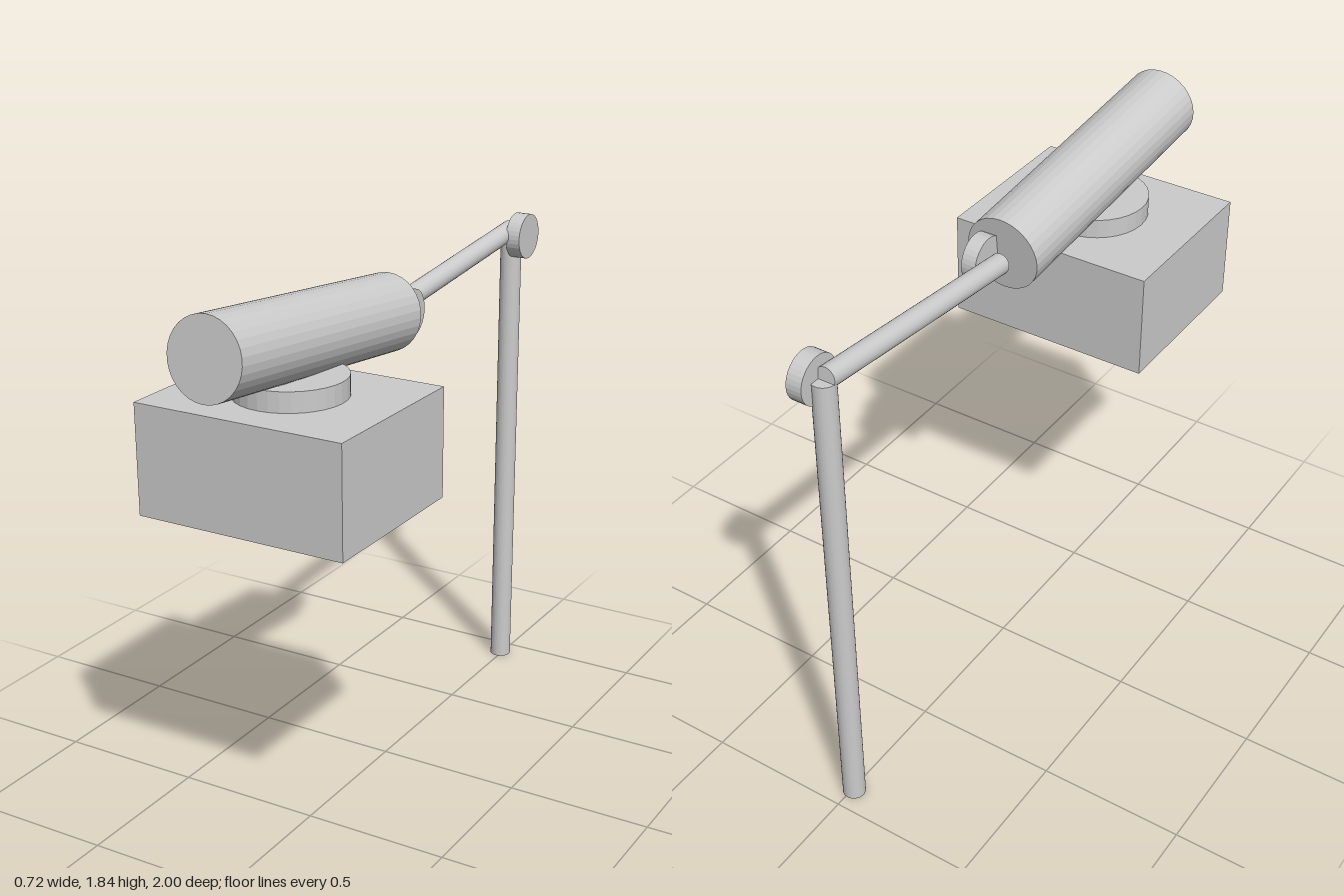
import * as THREE from 'three';

const material = new THREE.MeshStandardMaterial({ color: 0xcccccc, flatShading: true });
const UP = new THREE.Vector3(0, 1, 0);

// Solid round bar running from point a to point b
function rod(name, a, b, radius) {
  const start = new THREE.Vector3(...a);
  const end = new THREE.Vector3(...b);
  const axis = end.clone().sub(start);
  const mesh = new THREE.Mesh(new THREE.CylinderGeometry(radius, radius, axis.length(), 32), material);
  mesh.name = name;
  mesh.position.copy(start).add(end).multiplyScalar(0.5);
  mesh.quaternion.setFromUnitVectors(UP, axis.normalize());
  return mesh;
}

export function createModel() {
  const model = new THREE.Group();
  model.name = 'articulatedArm';

  // Base block with its turntable
  const base = new THREE.Mesh(new THREE.BoxGeometry(0.722, 0.362, 0.595), material);
  base.name = 'baseBlock';
  base.position.set(0, 1.316, 0.565);
  model.add(base);
  model.add(rod('turntable', [0, 1.49, 0.565], [0, 1.563, 0.565], 0.181));

  // Thick upper arm, tilted and turned very slightly
  model.add(rod('upperArm', [-0.006, 1.716, 0.988], [0.003, 1.616, 0], 0.129));

  // Thin forearm and the hanging post
  model.add(rod('forearm', [-0.013, 1.606, -0.04], [-0.014, 1.7, -0.922], 0.035));
  model.add(rod('hangingPost', [-0.008, 0, -0.921], [-0.008, 1.69, -0.921], 0.038));

  // Joint discs on the left side
  model.add(rod('elbowDisc', [0.022, 1.61, -0.047], [0.074, 1.61, -0.047], 0.08));
  model.add(rod('wristDisc', [0.009, 1.685, -0.92], [0.063, 1.685, -0.92], 0.08));

  return model;
}
